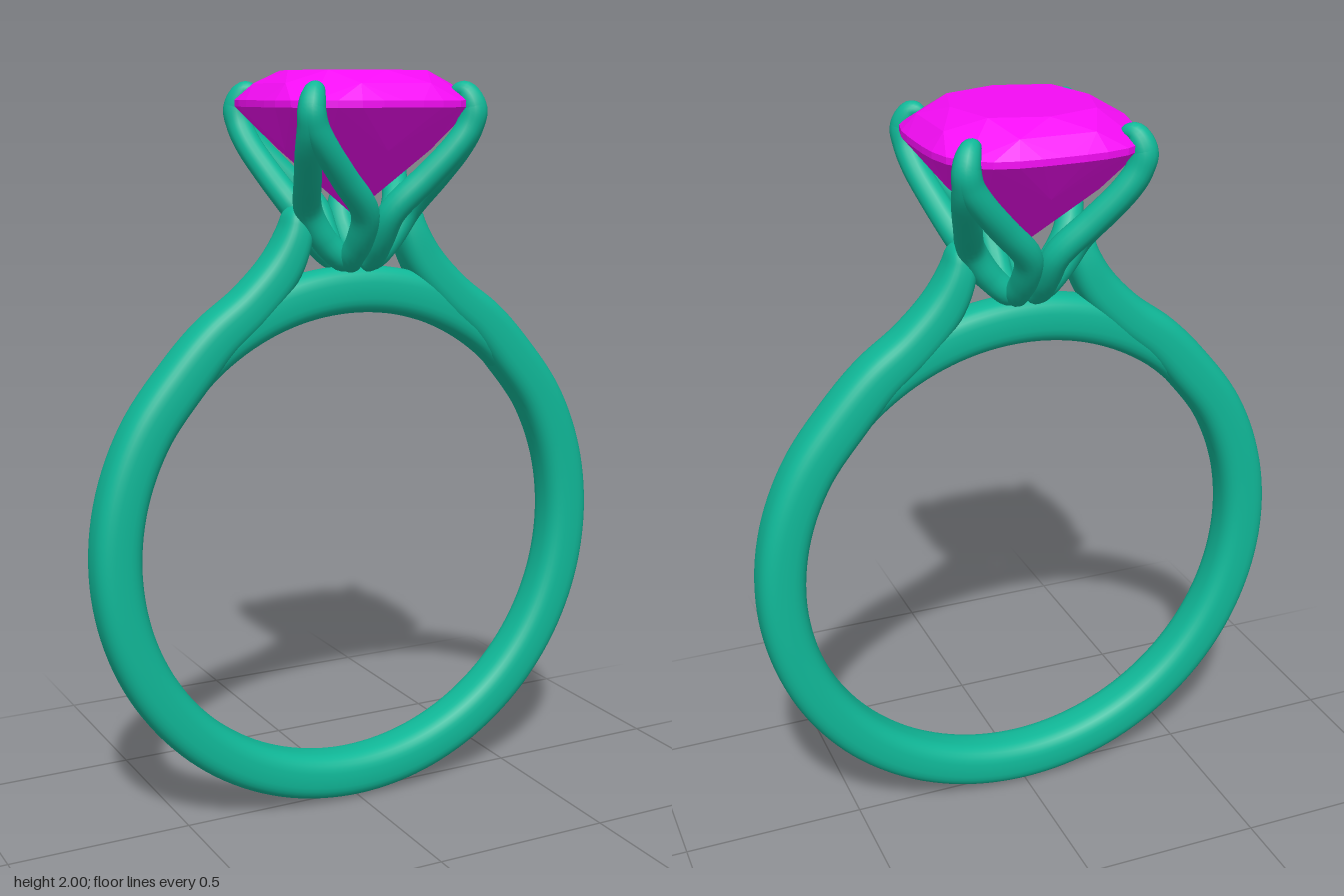
import * as THREE from 'three';
import { ConvexGeometry } from 'three/addons/geometries/ConvexGeometry.js';

const metal = new THREE.MeshStandardMaterial({ color: 0x10b898, roughness: 0.5 });
const gemMaterial = new THREE.MeshStandardMaterial({ color: 0xf40cf4, flatShading: true });

const signedPow = (v, e) => Math.sign(v) * Math.pow(Math.abs(v), e);

// Sweeps a superelliptic section along stations [x, y, z, halfWidth, halfDepth].
// ref is the direction the section's depth leans towards.
function sweep(stations, ref, steps, sides, power = 2) {
  const path = new THREE.CatmullRomCurve3(stations.map(s => new THREE.Vector3(s[0], s[1], s[2])));
  const size = new THREE.CatmullRomCurve3(
    stations.map(s => new THREE.Vector3(s[3], s[4], 0)), false, 'catmullrom');
  const positions = [], index = [];
  for (let i = 0; i <= steps; i++) {
    const t = i / steps;
    const c = path.getPoint(t), w = size.getPoint(t), tangent = path.getTangent(t);
    const n = ref.clone().cross(tangent).normalize();
    const b = tangent.clone().cross(n);
    // rounded ends
    const d = Math.min(1, Math.min(i, steps - i) / 3);
    const cap = Math.sqrt(d * (2 - d));
    for (let j = 0; j < sides; j++) {
      const a = (j / sides) * Math.PI * 2;
      const p = c.clone()
        .addScaledVector(n, signedPow(Math.cos(a), 2 / power) * w.x * cap)
        .addScaledVector(b, signedPow(Math.sin(a), 2 / power) * w.y * cap);
      positions.push(p.x, p.y, p.z);
      if (i < steps) {
        const k = (j + 1) % sides, r = i * sides, s = r + sides;
        index.push(r + j, r + k, s + j, r + k, s + k, s + j);
      }
    }
  }
  const geometry = new THREE.BufferGeometry();
  geometry.setAttribute('position', new THREE.Float32BufferAttribute(positions, 3));
  geometry.setIndex(index);
  geometry.computeVertexNormals();
  return geometry;
}

function addMesh(parent, name, geometry, material = metal) {
  const mesh = new THREE.Mesh(geometry, material);
  mesh.name = name;
  parent.add(mesh);
}

// Arc of the finger ring, angles in degrees
function arc(from, to, step, radius, half, depth) {
  const out = [];
  for (let a = from; a <= to; a += step) {
    const r = THREE.MathUtils.degToRad(a);
    out.push([Math.cos(r) * radius, 0.75 + Math.sin(r) * radius, 0, half, depth]);
  }
  return out;
}

// Rounded-square outline of the stone
function cushion(half, y, count, power, offset = 0) {
  return Array.from({ length: count }, (_, i) => {
    const a = ((i + offset) / count) * Math.PI * 2;
    const c = Math.cos(a), s = Math.sin(a);
    const r = half / Math.pow(Math.abs(c) ** power + Math.abs(s) ** power, 1 / power);
    return new THREE.Vector3(c * r, y, s * r);
  });
}

export function createModel() {
  const ring = new THREE.Group();
  ring.name = 'ring';
  const zAxis = new THREE.Vector3(0, 0, 1);

  // Shank: round the finger, then both shoulders rise to the setting
  const shoulder = [
    [0.40, 1.325, 0, 0.062, 0.065],
    [0.30, 1.405, 0, 0.058, 0.063],
    [0.215, 1.495, 0, 0.055, 0.06],
    [0.172, 1.58, 0, 0.045, 0.056],
    [0.155, 1.66, 0, 0.034, 0.042],
  ];
  const leftShoulder = shoulder.map(([x, ...rest]) => [-x, ...rest]);
  const shank = [...leftShoulder.reverse(), ...arc(135, 405, 15, 0.685, 0.065, 0.066), ...shoulder];
  addMesh(ring, 'shank', sweep(shank, zAxis, 180, 32, 2.8));

  // Bridge closing the finger hole under the setting
  addMesh(ring, 'bridge', sweep(arc(40, 140, 10, 0.6825, 0.0625, 0.056), zAxis, 48, 28, 2.8));

  // Setting: four split claws, each of two mirrored strands
  const setting = new THREE.Group();
  setting.name = 'setting';
  ring.add(setting);
  const strand = [
    [0.183, 1.945, 0.183, 0.012],
    [0.212, 1.947, 0.212, 0.027],
    [0.229, 1.905, 0.229, 0.035],
    [0.218, 1.86, 0.226, 0.035],
    [0.185, 1.81, 0.216, 0.035],
    [0.12, 1.735, 0.188, 0.036],
    [0.04, 1.645, 0.148, 0.037],
    [0.03, 1.57, 0.1, 0.036],
    [0.03, 1.52, 0.05, 0.034],
    [0.015, 1.505, 0.02, 0.03],
  ];
  for (let q = 0; q < 4; q++) {
    const claw = new THREE.Group();
    claw.name = 'claw' + (q + 1);
    claw.rotation.y = q * Math.PI / 2;
    setting.add(claw);
    for (const swap of [false, true]) {
      const points = strand.map(([x, y, z, r]) => swap ? [z, y, x, r, r] : [x, y, z, r, r]);
      const ref = new THREE.Vector3(1, 0, -1).normalize();
      addMesh(claw, swap ? 'sideStrand' : 'frontStrand', sweep(points, ref, 54, 16));
    }
  }

  // Cushion-cut stone: table, crown, girdle, pavilion, point
  const stone = new ConvexGeometry([
    ...cushion(0.185, 2.0, 8, 2.6),
    ...cushion(0.243, 1.967, 8, 3, 0.5),
    ...cushion(0.278, 1.925, 32, 3.3),
    ...cushion(0.278, 1.908, 32, 3.3),
    ...cushion(0.195, 1.8, 8, 2.6),
    new THREE.Vector3(0, 1.63, 0),
  ]);
  addMesh(ring, 'stone', stone, gemMaterial);

  return ring;
}
